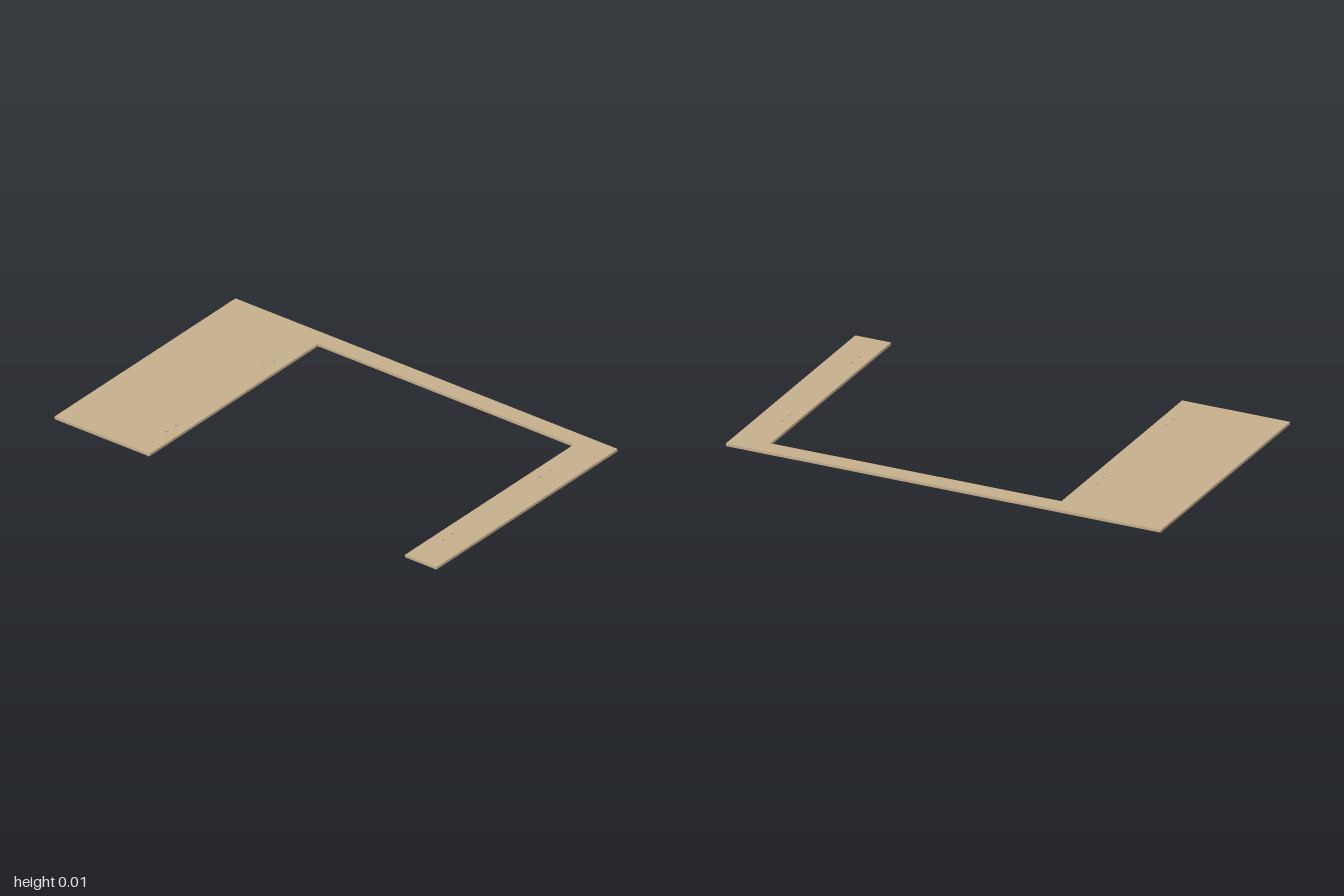
import * as THREE from 'three';

const THICKNESS = 0.012;
const HOLE_RADIUS = 0.007;

export function createModel() {
  const group = new THREE.Group();
  group.name = 'framePanel';

  // C-shaped outline as [x, z]: deep back panel, narrow left rail, front strip
  const outline = [
    [-0.61, 1], [0.61, 1], [0.61, -1], [-0.61, -1],
    [-0.61, -0.503], [0.527, -0.503], [0.527, 0.835], [-0.61, 0.835],
  ];
  const shape = new THREE.Shape(outline.map(([x, z]) => new THREE.Vector2(x, -z)));

  // Paired screw holes along both inner edges
  for (const z of [-0.557, 0.889]) {
    for (const x of [-0.42, -0.355, 0.235, 0.302]) {
      shape.holes.push(new THREE.Path().absarc(x, -z, HOLE_RADIUS, 0, Math.PI * 2, true));
    }
  }

  // Lay the extruded sheet flat on the ground plane
  const geometry = new THREE.ExtrudeGeometry(shape, {
    depth: THICKNESS, bevelEnabled: false, curveSegments: 12,
  });
  geometry.rotateX(-Math.PI / 2);

  const panel = new THREE.Mesh(geometry, new THREE.MeshStandardMaterial({ color: 0xc4ae8c }));
  panel.name = 'panel';
  group.add(panel);
  return group;
}
